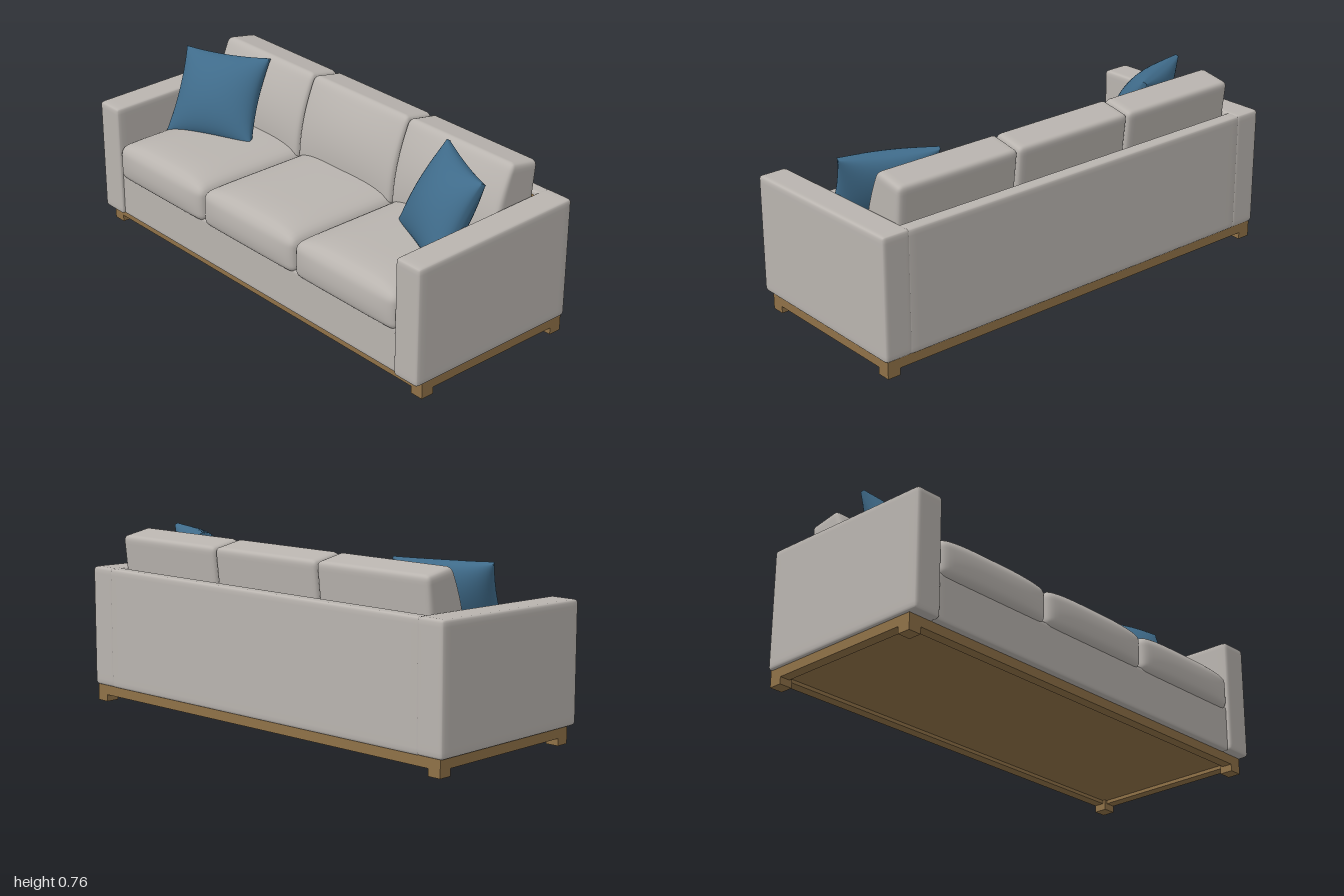
import * as THREE from 'three';
import { mergeVertices } from 'three/addons/utils/BufferGeometryUtils.js';

const material = (name, color) => {
  const m = new THREE.MeshStandardMaterial({ color });
  m.name = name;
  return m;
};

// Smooth normals across the seams of a box grid
function weld(geometry) {
  geometry.deleteAttribute('uv');
  geometry.deleteAttribute('normal');
  const g = mergeVertices(geometry, 1e-5);
  g.computeVertexNormals();
  return g;
}

// Rounded block between two corners; grid lines gather at the edges, and an
// optional rule bends each point, given its position from -1 to 1 per axis
function softBlock(min, max, radius, rule, segments = 20) {
  const a = new THREE.Vector3(...min), b = new THREE.Vector3(...max);
  const half = b.clone().sub(a).multiplyScalar(0.5);
  const centre = a.clone().add(b).multiplyScalar(0.5);
  const inner = half.clone().subScalar(radius);
  const g = new THREE.BoxGeometry(2, 2, 2, segments, segments, segments);
  const pos = g.attributes.position;
  const p = new THREE.Vector3(), q = new THREE.Vector3();
  const spread = (t) => Math.sin(t * Math.PI / 2);
  for (let i = 0; i < pos.count; i++) {
    p.fromBufferAttribute(pos, i);
    p.set(spread(p.x), spread(p.y), spread(p.z)).multiply(half);
    q.copy(p).clamp(inner.clone().negate(), inner);
    p.sub(q).setLength(radius).add(q);
    const n = p.clone().divide(half);
    p.add(centre);
    if (rule) rule(p, n);
    pos.setXYZ(i, p.x, p.y, p.z);
  }
  return weld(g);
}

// Square pillow stretched between four corners, pinched along its edges
function pillowGeometry(side) {
  const corner = (x, y, z) => new THREE.Vector3(x * side, y, z);
  const tl = corner(0.545, 0.755, -0.185), tr = corner(0.905, 0.75, -0.015);
  const bl = corner(0.465, 0.425, -0.005), br = corner(0.85, 0.41, 0.155);
  const across = tr.clone().add(br).sub(tl).sub(bl);
  const up = tl.clone().add(tr).sub(bl).sub(br);
  const normal = across.cross(up).normalize().multiplyScalar(side);
  const g = new THREE.BoxGeometry(2, 2, 2, 24, 24, 2);
  const pos = g.attributes.position;
  for (let i = 0; i < pos.count; i++) {
    const s = Math.sin(pos.getX(i) * Math.PI / 2), t = Math.sin(pos.getY(i) * Math.PI / 2);
    const u = s * (1 - 0.09 * (1 - t * t)), v = t * (1 - 0.06 * (1 - s * s));
    const puff = 0.008 + 0.085 * Math.pow(Math.max(0, (1 - s * s) * (1 - t * t)), 0.55);
    const low = bl.clone().lerp(br, (u + 1) / 2);
    const high = tl.clone().lerp(tr, (u + 1) / 2);
    const p = low.lerp(high, (v + 1) / 2).addScaledVector(normal, puff * pos.getZ(i));
    // side is mirrored by flipping x, so the winding is corrected below
    pos.setXYZ(i, p.x, p.y, p.z);
  }
  if (side < 0) {
    const index = g.index.array;
    for (let i = 0; i < index.length; i += 3) {
      [index[i + 1], index[i + 2]] = [index[i + 2], index[i + 1]];
    }
  }
  return weld(g);
}

export function createModel() {
  const sofa = new THREE.Group();
  sofa.name = 'sofa';
  const fabric = material('greyFabric', 0xb9b4af);
  const wood = material('brownWood', 0x8f7147);
  const blue = material('blueFabric', 0x3f6b8a);

  const add = (name, geometry, mat) => {
    const mesh = new THREE.Mesh(geometry, mat);
    mesh.name = name;
    sofa.add(mesh);
  };
  const board = (name, x0, x1, y0, y1, z0, z1) => {
    const g = new THREE.BoxGeometry(x1 - x0, y1 - y0, z1 - z0);
    g.translate((x0 + x1) / 2, (y0 + y1) / 2, (z0 + z1) / 2);
    add(name, g, wood);
  };

  // Upholstered body
  add('seatBase', softBlock([-0.88, 0.07, -0.36], [0.88, 0.27, 0.388], 0.012), fabric);
  add('backPanel', softBlock([-0.885, 0.07, -0.416], [0.885, 0.59, -0.352], 0.014), fabric);

  // Arms rise slightly towards the back
  const slope = (p, n) => { if (n.y > 0) p.y -= 0.008 * (n.z + 1) * n.y; };
  for (const side of [-1, 1]) {
    const name = side > 0 ? 'left' : 'right';
    const x = side > 0 ? [0.868, 0.998] : [-0.998, -0.868];
    add(name + 'Arm', softBlock([x[0], 0.07, -0.416], [x[1], 0.592, 0.402], 0.016, slope), fabric);
    add(name + 'Pillow', pillowGeometry(side), blue);
    board(name + 'InnerBoard', side > 0 ? 0.85 : -0.872, side > 0 ? 0.872 : -0.85, 0.2, 0.385, -0.35, 0.34);
  }
  board('innerBackBoard', -0.87, 0.87, 0.2, 0.575, -0.356, -0.34);

  // Three seat cushions with crowned tops, three leaning back cushions
  const crown = (p, n) => {
    const across = 1 - Math.pow(n.x, 4);
    if (n.y > 0) p.y += 0.04 * n.y * across * (1 - 0.6 * Math.pow(n.z, 6));
    if (n.z > 0) p.z += 0.016 * n.z * across * (1 - n.y * n.y);
  };
  const lean = (p, n) => {
    const v = (n.y + 1) / 2, w = (n.z + 1) / 2;
    p.z -= (1 - w) * 0.036 * v + w * 0.095 * v * v;
    p.y += 0.026 * w * v;
    if (n.z > 0) p.z += 0.012 * n.z * (1 - n.x * n.x) * (1 - n.y * n.y);
  };
  const edges = [-0.872, -0.29, 0.29, 0.872];
  for (let i = 0; i < 3; i++) {
    const x0 = edges[i] + 0.001, x1 = edges[i + 1] - 0.001;
    add('seatCushion', softBlock([x0, 0.25, -0.3], [x1, 0.405, 0.402], 0.035, crown, 24), fabric);
    add('backCushion', softBlock([x0 + 0.002, 0.38, -0.318], [x1 - 0.002, 0.731, -0.115], 0.024, lean, 24), fabric);
  }

  // Wooden plinth with a recessed underside and four feet
  const X = 0.985, Z0 = -0.408, Z1 = 0.36, rail = 0.045;
  board('underside', -X + 0.01, X - 0.01, 0.045, 0.072, Z0 + 0.01, Z1 - 0.01);
  board('frontRail', -X, X, 0.03, 0.075, Z1 - rail, Z1);
  board('backRail', -X, X, 0.03, 0.075, Z0, Z0 + rail);
  for (const x of [-X, X - rail]) {
    board('sideRail', x, x + rail, 0.03, 0.075, Z0, Z1);
  }
  for (const x of [-X, X - 0.058]) {
    for (const z of [Z0, Z1 - 0.058]) board('foot', x, x + 0.058, 0, 0.075, z, z + 0.058);
  }
  return sofa;
}
